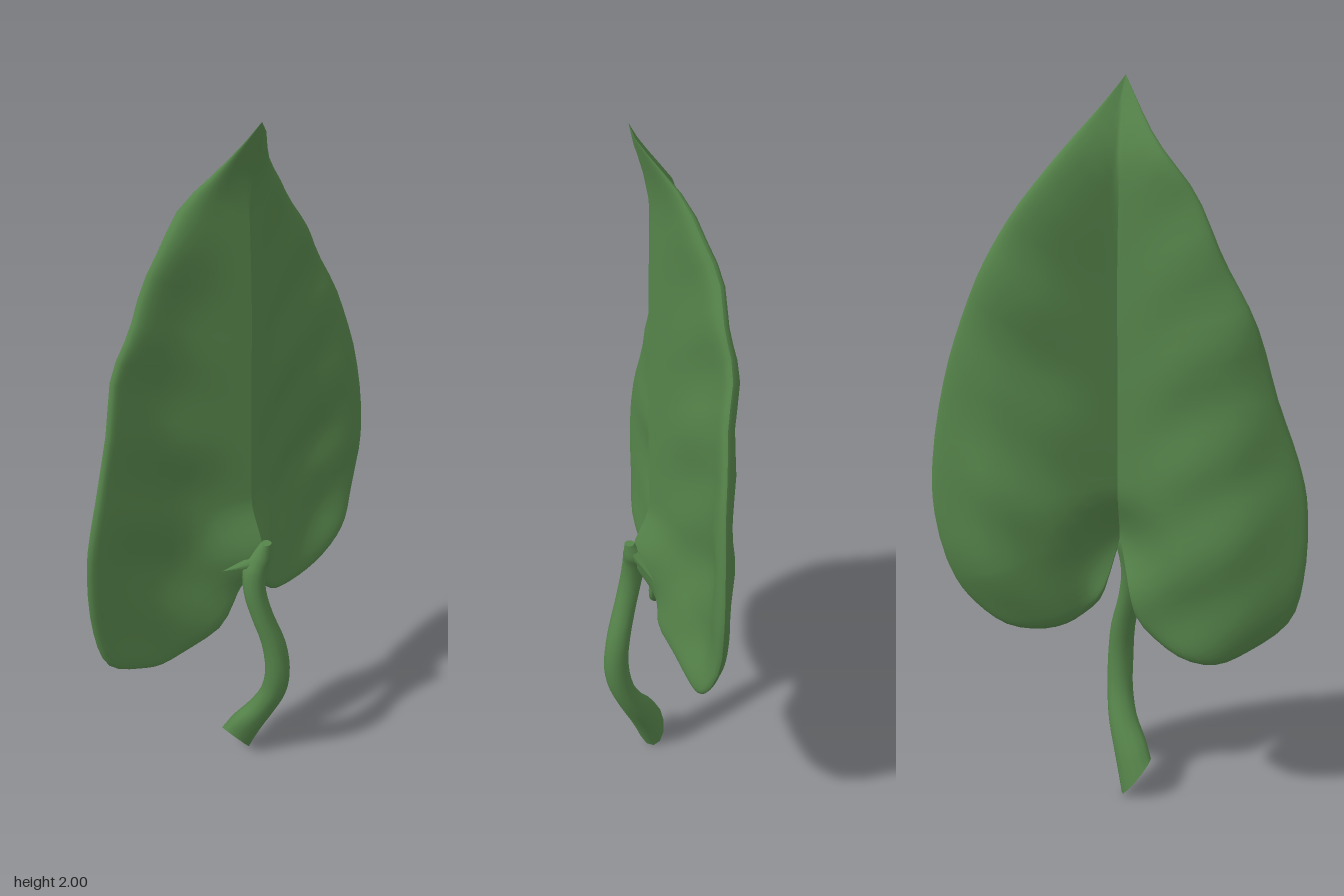
import * as THREE from 'three';

const ROWS = 48, COLS = 18;
const ss = THREE.MathUtils.smoothstep;

// Outline of each half, from the notch round the lobe to the tip
const leftEdge = [[0, .78], [.02, .7], [.05, .61], [.12, .545], [.2, .52], [.31, .53], [.4, .59], [.45, .66],
  [.5, .85], [.5, 1], [.46, 1.22], [.4, 1.4], [.33, 1.55], [.27, 1.65], [.17, 1.78], [.06, 1.91], [-.01, 2]];
const rightEdge = [[0, .78], [-.03, .7], [-.06, .55], [-.16, .47], [-.27, .45], [-.36, .49], [-.47, .58],
  [-.505, .72], [-.505, .92], [-.48, 1.03], [-.42, 1.2], [-.36, 1.4], [-.28, 1.55], [-.2, 1.72], [-.09, 1.86], [-.01, 2]];

// Depth of the blade: folded along the midrib, lobes set forward, soft uneven veins
function bladeZ(x, y) {
  const a = Math.abs(x), left = x > 0;
  const midrib = -.017 + .08 * ss(y, 1.78, 2.04);
  const pinch = .05 * (1 - ss(Math.hypot(x, y - .77), 0, .17));
  const fold = -.086 * Math.sin(Math.min(a / .3, 1) * Math.PI / 2) + .042 * ss(a, .3, .52);
  const lobe = (left ? .05 : .025) * (1 - ss(y, left ? .5 : .44, left ? .78 : .72)) * ss(a, .02, .1);
  const slant = y - .6 * a + (left ? 0 : .12);
  const ripple = (.006 * Math.sin(slant * 23) + .005 * Math.sin(slant * 11 + a * 9)) * ss(a, .02, .2) * (1 - ss(a, .3, .5));
  return midrib + pinch + fold + lobe + ripple;
}

// One face of one half of the blade; face is +1 for front, -1 for back
function bladeSheet(edge, side, face) {
  const curve = new THREE.CatmullRomCurve3(edge.map(([x, y]) => new THREE.Vector3(x, y, 0)), false, 'centripetal');
  const pos = [], index = [];
  for (let i = 0; i <= ROWS; i++) {
    const t = i / ROWS, e = curve.getPoint(t);
    const midY = .78 + 1.22 * Math.max(0, (t - .25) / .75) ** 2;
    const midX = -.01 * ss(midY, 1.5, 2);
    for (let j = 0; j <= COLS; j++) {
      // Columns crowd towards the blunt rim
      const u = 1 - (1 - j / COLS) ** 1.7;
      const x = midX + (e.x - midX) * u, y = midY + (e.y - midY) * u;
      const half = .026 * Math.sqrt(1 - u ** 10) * (1 - ss(y, 1.75, 2));
      pos.push(x, y, bladeZ(x, y) + face * half);
      if (i < ROWS && j < COLS) {
        const a = i * (COLS + 1) + j, b = a + 1, c = b + COLS + 1, d = c - 1;
        if (side * face > 0) index.push(a, b, c, a, c, d);
        else index.push(a, c, b, a, d, c);
      }
    }
  }
  const g = new THREE.BufferGeometry();
  g.setAttribute('position', new THREE.Float32BufferAttribute(pos, 3));
  g.setIndex(index);
  g.computeVertexNormals();
  return g;
}

// Stem lofted from tilted rings: centre x, y, z, radius, tilt
function stemGeometry() {
  const rings = [[-.05, .06, -.008, .042, 1.35], [-.03, .13, .02, .043, .8], [-.002, .21, .06, .04, .3],
    [.01, .29, .095, .037, .1], [.01, .38, .11, .037, 0], [.002, .48, .1, .035, 0], [-.02, .58, .074, .032, 0],
    [-.03, .66, .055, .032, 0], [-.022, .73, .046, .034, 0], [-.004, .77, .05, .032, 0], [.004, .815, .065, .014, 0]];
  const path = new THREE.CatmullRomCurve3(rings.map(r => new THREE.Vector3(r[0], r[1], r[2])));
  const N = 30, S = 12, pos = [], index = [];
  for (let i = 0; i <= N; i++) {
    const f = i / N * (rings.length - 1), k = Math.min(Math.floor(f), rings.length - 2);
    const r = THREE.MathUtils.lerp(rings[k][3], rings[k + 1][3], f - k);
    const tilt = THREE.MathUtils.lerp(rings[k][4], rings[k + 1][4], f - k);
    const c = path.getPoint(i / N);
    for (let j = 0; j < S; j++) {
      const a = j / S * 2 * Math.PI, dx = r * Math.cos(a);
      pos.push(c.x + dx, c.y - tilt * dx, c.z + r * Math.sin(a));
      const n = (j + 1) % S, p = i * S;
      if (i < N) index.push(p + j, p + S + j, p + S + n, p + j, p + S + n, p + n);
    }
  }
  // End caps with their own corners, so the cut stays sharp
  for (const [row, flip] of [[0, false], [N, true]]) {
    const base = pos.length / 3;
    for (let j = 0; j < S; j++) pos.push(...pos.slice((row * S + j) * 3, (row * S + j) * 3 + 3));
    for (let j = 1; j < S - 1; j++) index.push(base, base + (flip ? j + 1 : j), base + (flip ? j : j + 1));
  }
  const g = new THREE.BufferGeometry();
  g.setAttribute('position', new THREE.Float32BufferAttribute(pos, 3));
  g.setIndex(index);
  g.computeVertexNormals();
  return g;
}

// Small pointed crease where the blade gathers round the stem
function creaseGeometry(from, to) {
  const a = new THREE.Vector3(...from), dir = new THREE.Vector3(...to).sub(a);
  const g = new THREE.ConeGeometry(.022, dir.length(), 8);
  g.translate(0, dir.length() / 2, 0);
  g.applyQuaternion(new THREE.Quaternion().setFromUnitVectors(new THREE.Vector3(0, 1, 0), dir.normalize()));
  return g.translate(a.x, a.y, a.z);
}

export function createModel() {
  const leafGreen = new THREE.MeshStandardMaterial({ color: 0x55834a });
  leafGreen.name = 'leafGreen';
  const model = new THREE.Group();
  model.name = 'leaf';
  const add = (name, geometry) => {
    const mesh = new THREE.Mesh(geometry, leafGreen);
    mesh.name = name;
    model.add(mesh);
  };
  // Blade halves, front and back
  for (const [name, edge, side] of [['left', leftEdge, 1], ['right', rightEdge, -1]]) {
    add(name + 'BladeFront', bladeSheet(edge, side, 1));
    add(name + 'BladeBack', bladeSheet(edge, side, -1));
  }
  // Curved stem and the creases at its top
  add('stem', stemGeometry());
  add('rightCrease', creaseGeometry([-.01, .75, .045], [-.11, .745, .01]));
  add('leftCrease', creaseGeometry([.01, .78, .045], [.08, .72, .01]));
  return model;
}
